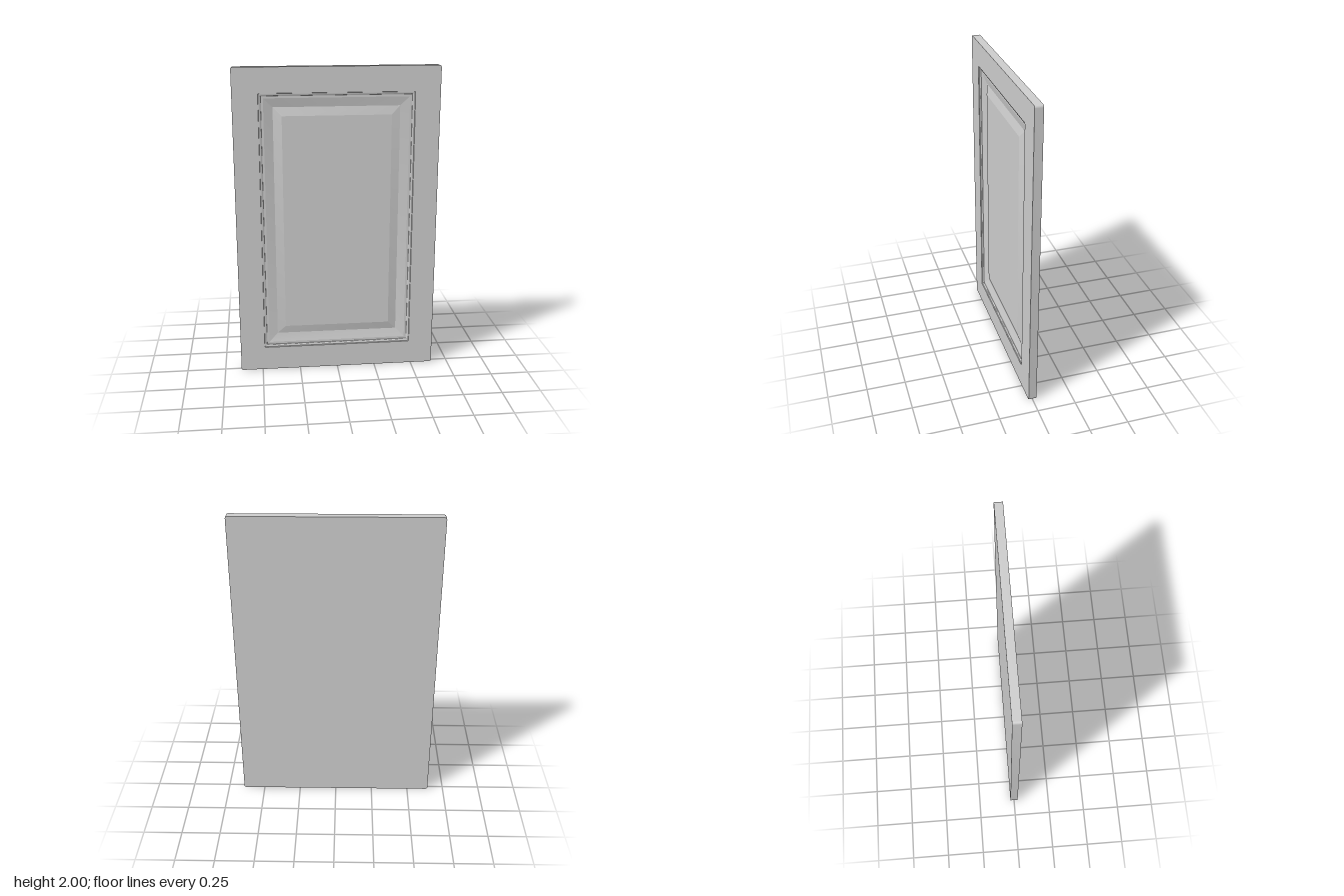
import * as THREE from 'three';
import { toCreasedNormals } from 'three/addons/utils/BufferGeometryUtils.js';

const W = 0.643, H = 1, T = 0.026; // half width, half height, half thickness
const SEG = 10; // segments per rounded corner

// Rounded rectangle, inset from the door's outline, at depth z
function loop([inset, z, r]) {
  const w = W - inset - r, h = H - inset - r, pts = [];
  [[1, 1], [-1, 1], [-1, -1], [1, -1]].forEach(([sx, sy], k) => {
    for (let i = 0; i <= SEG; i++) {
      const a = (k + i / SEG) * Math.PI / 2;
      pts.push(new THREE.Vector3(sx * w + r * Math.cos(a), H + sy * h + r * Math.sin(a), z));
    }
  });
  return pts;
}

// Skin a run of [inset, z, corner radius] loops, optionally closing its ends
function mould(name, profile, material, { capBack = false, capFront = false } = {}) {
  const loops = profile.map(loop), pos = [];
  const tri = (...v) => v.forEach((p) => pos.push(p.x, p.y, p.z));
  const n = loops[0].length;
  const cap = (ring, flip) => {
    const c = new THREE.Vector3(0, H, ring[0].z);
    for (let i = 0; i < n; i++) {
      const p = ring[i], q = ring[(i + 1) % n];
      flip ? tri(q, p, c) : tri(p, q, c);
    }
  };
  for (let k = 0; k < loops.length - 1; k++) {
    const a = loops[k], b = loops[k + 1];
    for (let i = 0; i < n; i++) {
      const j = (i + 1) % n;
      tri(a[i], a[j], b[j]);
      tri(a[i], b[j], b[i]);
    }
  }
  if (capBack) cap(loops[0], true);
  if (capFront) cap(loops[loops.length - 1], false);
  const geo = new THREE.BufferGeometry();
  geo.setAttribute('position', new THREE.Float32BufferAttribute(pos, 3));
  const mesh = new THREE.Mesh(toCreasedNormals(geo, 0.2), material);
  mesh.name = name;
  return mesh;
}

export function createModel() {
  const group = new THREE.Group();
  group.name = 'panelDoor';
  const mat = new THREE.MeshStandardMaterial({ color: 0xcccccc });

  // Slab: back, rim and flat front border
  group.add(mould('frame', [
    [0, -T, 0.014], [0, T, 0.014], [0.158, T, 0.01],
  ], mat, { capBack: true }));

  // Stepped quarter-round moulding around the opening
  const bead = [[0.158, T, 0.01], [0.16, 0.021, 0.01]];
  for (let i = 0; i <= 6; i++) {
    const a = (i / 6) * Math.PI / 2;
    bead.push([0.163 + 0.012 * Math.sin(a), 0.013 + 0.008 * Math.cos(a), 0.008 - i * 0.001]);
  }
  bead.push([0.178, 0.012, 0.001], [0.19, 0.012, 0.001]);
  group.add(mould('bead', bead, mat));

  // Sunken V-shaped bevel and raised centre field
  group.add(mould('raisedPanel', [
    [0.19, 0.012, 0.001], [0.247, -0.004, 0.001], [0.301, 0.012, 0.001],
  ], mat, { capFront: true }));

  return group;
}
